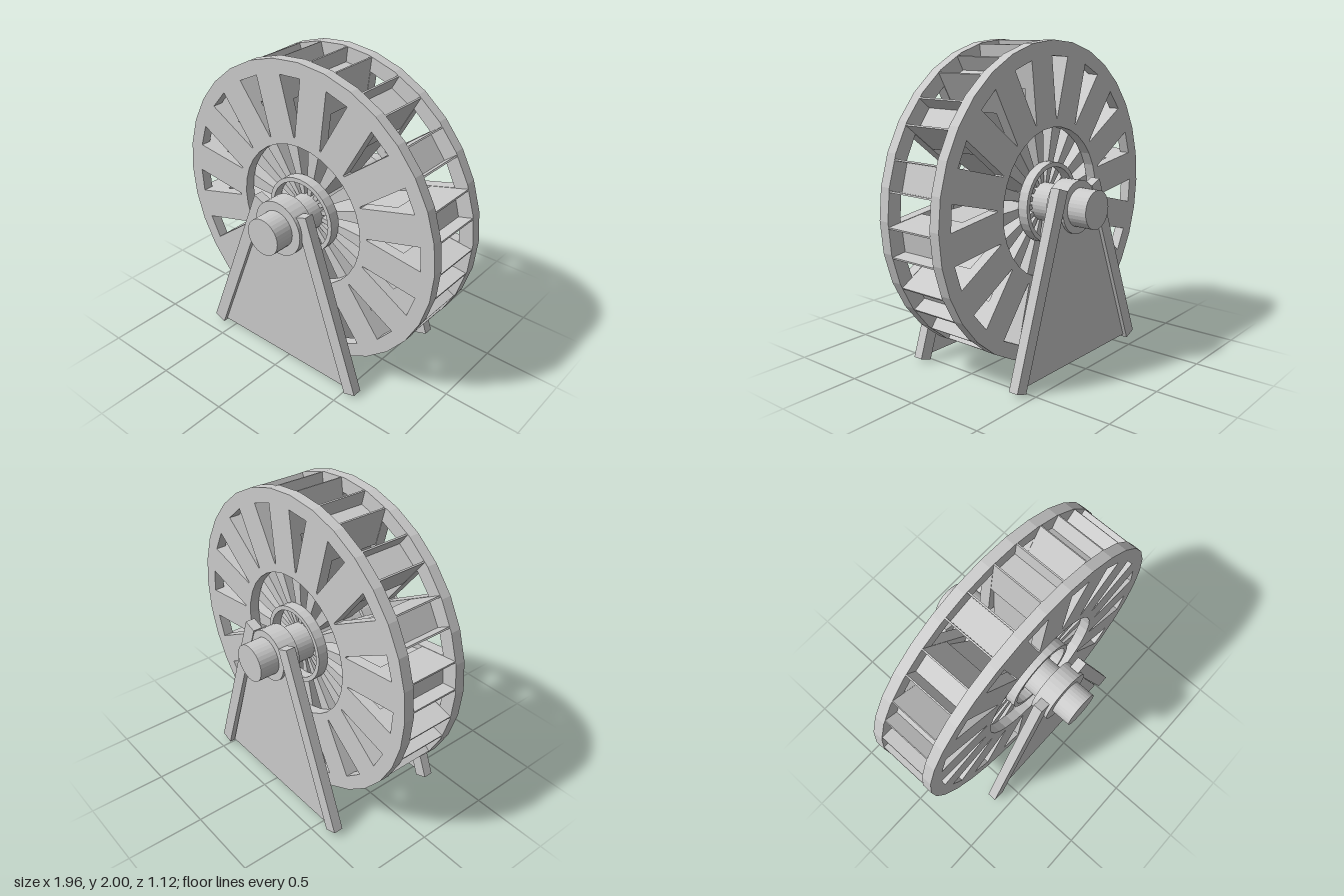
import * as THREE from 'three';

const HUB_Y = 1.02;
const SPOKES = 16;
const STEP = (Math.PI * 2) / SPOKES;
const FIRST = THREE.MathUtils.degToRad(-7.2);

export function createModel() {
  const model = new THREE.Group();
  const flat = new THREE.MeshStandardMaterial({ color: 0xcccccc, flatShading: true });

  function add(parent, name, geometry, x = 0, y = 0, z = 0) {
    const mesh = new THREE.Mesh(geometry, flat);
    mesh.name = name;
    mesh.position.set(x, y, z);
    parent.add(mesh);
    return mesh;
  }

  // Extrude a shape along z, centred on its own depth
  function slab(shape, depth) {
    const g = new THREE.ExtrudeGeometry(shape, { depth, bevelEnabled: false });
    return g.translate(0, 0, -depth / 2);
  }

  const polar = (r, a) => new THREE.Vector2(r * Math.cos(a), r * Math.sin(a));
  const circle = (r, n = 32) =>
    Array.from({ length: n }, (_, i) => polar(r, (i / n) * Math.PI * 2));

  function disc(outer, inner) {
    const shape = new THREE.Shape(circle(outer));
    shape.holes.push(new THREE.Path(circle(inner)));
    return shape;
  }

  const wheel = new THREE.Group();
  wheel.name = 'wheel';
  wheel.position.y = HUB_Y;
  model.add(wheel);

  // Side plates with tapered windows between constant-width spokes
  const plate = disc(0.982, 0.465);
  for (let i = 0; i < SPOKES; i++) {
    const mid = FIRST + (i + 0.5) * STEP;
    plate.holes.push(new THREE.Path([
      polar(0.515, mid - 0.008),
      polar(0.89, mid - 0.088),
      polar(0.89, mid + 0.088),
      polar(0.515, mid + 0.008),
    ]));
  }
  const hubRing = disc(0.25, 0.222);
  for (const side of [1, -1]) {
    add(wheel, 'sidePlate', slab(plate, 0.068), 0, 0, side * 0.197);
    add(wheel, 'hubRing', slab(hubRing, 0.068), 0, 0, side * 0.197);
  }

  // Paddles: a tapered spoke carrying a bucket that opens outward between two thin walls
  const half = [
    [0.1, 0.012], [0.72, 0.068], [0.72, 0.094], [0.974, 0.094], [0.974, 0.084], [0.88, 0.084],
  ];
  const paddle = new THREE.Shape([
    ...half.map(([r, w]) => new THREE.Vector2(r, -w)),
    ...half.map(([r, w]) => new THREE.Vector2(r, w)).reverse(),
  ]);
  const paddleGeometry = slab(paddle, 0.33);
  for (let i = 0; i < SPOKES; i++) {
    add(wheel, 'paddle', paddleGeometry).rotation.z = FIRST + i * STEP;
  }

  // Axle through the whole wheel
  const axle = new THREE.CylinderGeometry(0.119, 0.119, 1.12, 32).rotateX(Math.PI / 2);
  add(wheel, 'axle', axle);

  // A leg is a board between two points in the xy plane
  function addLeg(parent, x0, y0, x1, y1) {
    const dx = x1 - x0, dy = y1 - y0;
    const leg = add(parent, 'leg', new THREE.BoxGeometry(0.085, Math.hypot(dx, dy), 0.063),
      (x0 + x1) / 2, (y0 + y1) / 2, 0);
    leg.rotation.z = -Math.atan2(dx, dy);
  }

  // Infill panel between the legs, stopping inside the bearing
  const panel = new THREE.Shape([
    new THREE.Vector2(-0.59, 0.03),
    new THREE.Vector2(0.487, 0.03),
    new THREE.Vector2(0.17, 1.0),
    new THREE.Vector2(-0.2, 1.0),
  ]);

  // Front and back supports; the back bearing is slightly smaller
  for (const z of [0.38, -0.405]) {
    const front = z > 0;
    const support = new THREE.Group();
    support.name = front ? 'frontSupport' : 'backSupport';
    support.position.z = z;
    model.add(support);
    addLeg(support, -0.615, 0.027, -0.165, 1.15);
    addLeg(support, 0.55, 0.015, 0.165, 1.15);
    add(support, 'panel', slab(panel, 0.014));
    const r = front ? 0.178 : 0.164;
    const bearing = new THREE.CylinderGeometry(r, r, 0.122, 32).rotateX(Math.PI / 2);
    add(support, 'bearing', bearing, 0, HUB_Y, front ? -0.009 : 0.035);
  }

  return model;
}
